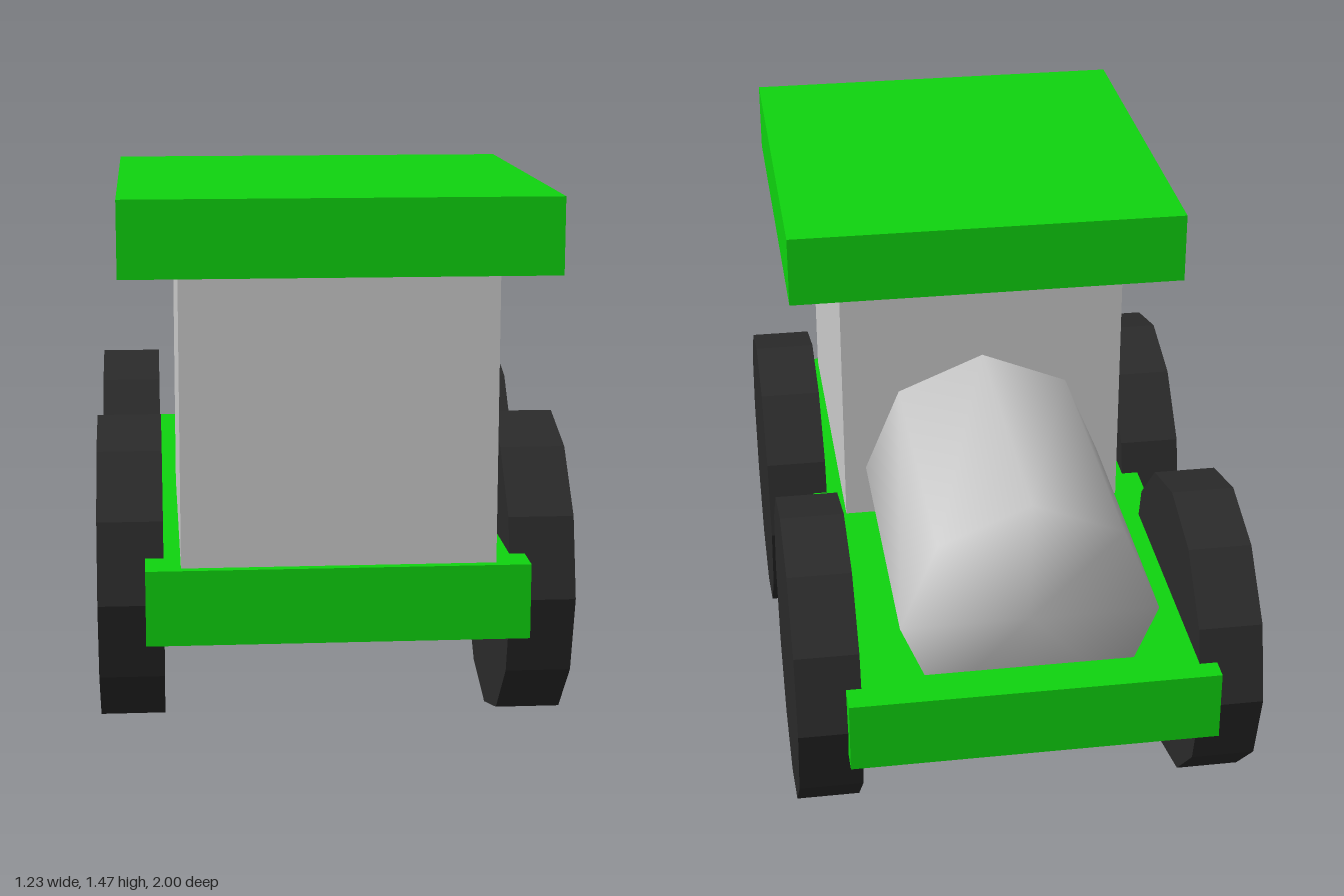
import * as THREE from 'three';
import { mergeVertices } from 'three/addons/utils/BufferGeometryUtils.js';

const green = new THREE.MeshStandardMaterial({ color: 0x0fd40f, side: THREE.DoubleSide });
const grey = new THREE.MeshStandardMaterial({ color: 0xcccccc, side: THREE.DoubleSide });
const smoothGrey = new THREE.MeshStandardMaterial({ color: 0xcccccc });
const rubber = new THREE.MeshStandardMaterial({ color: 0x2a2a2a, flatShading: true });

// Box given by its ranges, left open underneath (and on top if asked)
function openBox(name, material, [x0, x1], [y0, y1], [z0, z1], openTop = false) {
  const geometry = new THREE.BoxGeometry(x1 - x0, y1 - y0, z1 - z0);
  // six indices per side, in the order +x -x +y -y +z -z
  geometry.setIndex([...geometry.index.array].filter((_, i) => {
    const side = Math.floor(i / 6);
    return side !== 3 && !(openTop && side === 2);
  }));
  geometry.clearGroups();
  const mesh = new THREE.Mesh(geometry, material);
  mesh.name = name;
  mesh.position.set((x0 + x1) / 2, (y0 + y1) / 2, (z0 + z1) / 2);
  return mesh;
}

// Eight-sided engine cover, shaded smoothly over its end edges
function makeBonnet(radius, zBack, zFront) {
  let geometry = new THREE.CylinderGeometry(radius, radius, zFront - zBack, 8);
  geometry.rotateX(Math.PI / 2);
  geometry.deleteAttribute('normal');
  geometry.deleteAttribute('uv');
  geometry = mergeVertices(geometry, 1e-4);
  geometry.computeVertexNormals();
  const mesh = new THREE.Mesh(geometry, smoothGrey);
  mesh.name = 'bonnet';
  mesh.position.set(-0.004, 0.68, (zBack + zFront) / 2);
  return mesh;
}

export function createModel() {
  const model = new THREE.Group();
  model.name = 'tractor';

  model.add(
    openBox('chassis', green, [-0.493, 0.483], [0.335, 0.53], [-1, 0.955]),
    openBox('cabin', grey, [-0.403, 0.397], [0.336, 1.455], [-0.045, 0.93], true),
    openBox('roof', green, [-0.55, 0.542], [1.273, 1.467], [-0.17, 1]),
    makeBonnet(0.34, -0.885, -0.04),
  );

  // Four equal twelve-sided wheels, the right pair set slightly further back
  const tyre = new THREE.CylinderGeometry(0.414, 0.414, 0.17, 12);
  tyre.rotateZ(Math.PI / 2);
  for (const [side, x, shift] of [['left', 0.528, 0], ['right', -0.531, -0.02]]) {
    for (const [end, z] of [['Front', 0.467], ['Rear', -0.538]]) {
      const wheel = new THREE.Mesh(tyre, rubber);
      wheel.name = `${side}${end}Wheel`;
      wheel.position.set(x, 0.414, z + shift);
      model.add(wheel);
    }
  }
  return model;
}
